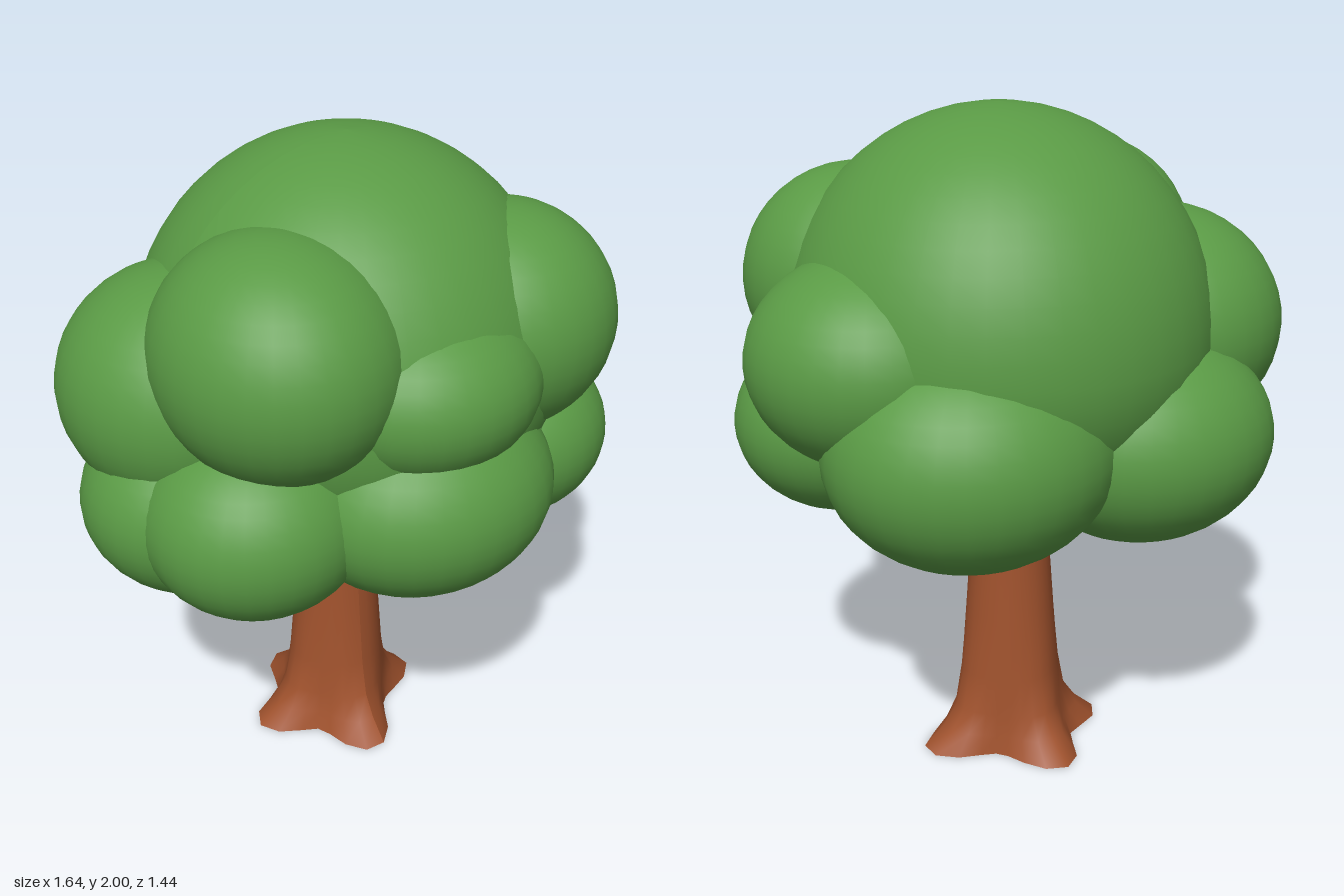
import * as THREE from 'three';

const leafGreen = new THREE.MeshStandardMaterial({ color: 0x5a9a45 });
leafGreen.name = 'leafGreen';
const barkBrown = new THREE.MeshStandardMaterial({ color: 0xa0522d });
barkBrown.name = 'barkBrown';

function addMesh(parent, name, geometry, material) {
  const mesh = new THREE.Mesh(geometry, material);
  mesh.name = name;
  parent.add(mesh);
  return mesh;
}

// Trunk rings from bottom to top: height, trunk radius, extra root reach
const RINGS = [
  [0, 0.162, 0.14], [0.06, 0.158, 0.075], [0.13, 0.155, 0.03], [0.25, 0.148, 0.012],
  [0.45, 0.136, 0.003], [0.65, 0.123, 0], [0.82, 0.115, 0], [1.0, 0.11, 0],
];
// Compass angles of the four roots, in degrees from +x towards +z
const ROOTS = [-6, 98, 181, 257];

function trunkGeometry() {
  const n = RINGS.length - 1;
  const geo = new THREE.CylinderGeometry(1, 1, 1, 28, n);
  const pos = geo.attributes.position;
  for (let i = 0; i < pos.count; i++) {
    const x = pos.getX(i), z = pos.getZ(i);
    const [y, radius, flare] = RINGS[Math.round((pos.getY(i) + 0.5) * n)];
    const angle = Math.atan2(z, x);
    let r = radius;
    for (const root of ROOTS) {
      r += flare * Math.max(0, Math.cos(angle - THREE.MathUtils.degToRad(root))) ** 8;
    }
    pos.setXYZ(i, 0.015 + x * r, y, -0.05 + z * r);
  }
  geo.computeVertexNormals();
  return geo;
}

function branchGeometry(points, radius) {
  const curve = new THREE.CatmullRomCurve3(points.map((p) => new THREE.Vector3(...p)));
  return new THREE.TubeGeometry(curve, 10, radius, 8, false);
}

// Leaf clumps: name, centre, radii
const CLUMPS = [
  ['upperFrontRightClump', [-0.335, 1.52, 0.21], [0.345, 0.34, 0.38]],
  ['upperFrontLeftClump', [0.37, 1.48, 0.25], [0.345, 0.335, 0.34]],
  ['middleFrontClump', [0.03, 1.41, 0.34], [0.35, 0.26, 0.335]],
  ['lowerFrontClump', [0.03, 1.085, 0.36], [0.4, 0.305, 0.36]],
  ['lowerFrontRightClump', [-0.42, 1.06, 0.22], [0.33, 0.285, 0.32]],
  ['lowerFrontLeftClump', [0.46, 1.06, 0.19], [0.325, 0.275, 0.32]],
  ['leftClump', [0.46, 1.335, -0.13], [0.36, 0.305, 0.36]],
  ['rightClump', [-0.45, 1.34, -0.1], [0.37, 0.35, 0.38]],
  ['lowerRightClump', [-0.5, 1.04, 0.0], [0.325, 0.28, 0.32]],
  ['backLeftClump', [0.26, 1.11, -0.34], [0.42, 0.335, 0.385]],
  ['backRightClump', [-0.27, 1.08, -0.35], [0.39, 0.31, 0.345]],
];

// Large central dome, flattened below its middle
function crownGeometry() {
  const geo = new THREE.SphereGeometry(0.645, 40, 28).scale(0.97, 1, 0.985);
  const pos = geo.attributes.position;
  for (let i = 0; i < pos.count; i++) {
    if (pos.getY(i) < 0) pos.setY(i, pos.getY(i) * 0.83);
  }
  geo.computeVertexNormals();
  return geo;
}

export function createModel() {
  const tree = new THREE.Group();
  tree.name = 'tree';

  // Trunk with roots and two branches
  const wood = new THREE.Group();
  wood.name = 'wood';
  tree.add(wood);
  addMesh(wood, 'trunk', trunkGeometry(), barkBrown);
  addMesh(wood, 'rightBranch', branchGeometry(
    [[-0.05, 0.6, -0.03], [-0.16, 0.65, -0.03], [-0.27, 0.72, -0.02], [-0.32, 0.82, -0.01], [-0.34, 0.92, 0]],
    0.038), barkBrown);
  addMesh(wood, 'leftBranch', branchGeometry(
    [[0.04, 0.68, -0.04], [0.14, 0.715, -0.03], [0.26, 0.79, -0.03], [0.36, 0.87, -0.03]],
    0.05), barkBrown);

  // Foliage
  const foliage = new THREE.Group();
  foliage.name = 'foliage';
  tree.add(foliage);
  addMesh(foliage, 'crown', crownGeometry(), leafGreen).position.set(0.04, 1.355, -0.03);
  for (const [name, centre, radii] of CLUMPS) {
    const geo = new THREE.SphereGeometry(1, 32, 22).scale(...radii);
    addMesh(foliage, name, geo, leafGreen).position.set(...centre);
  }
  return tree;
}
